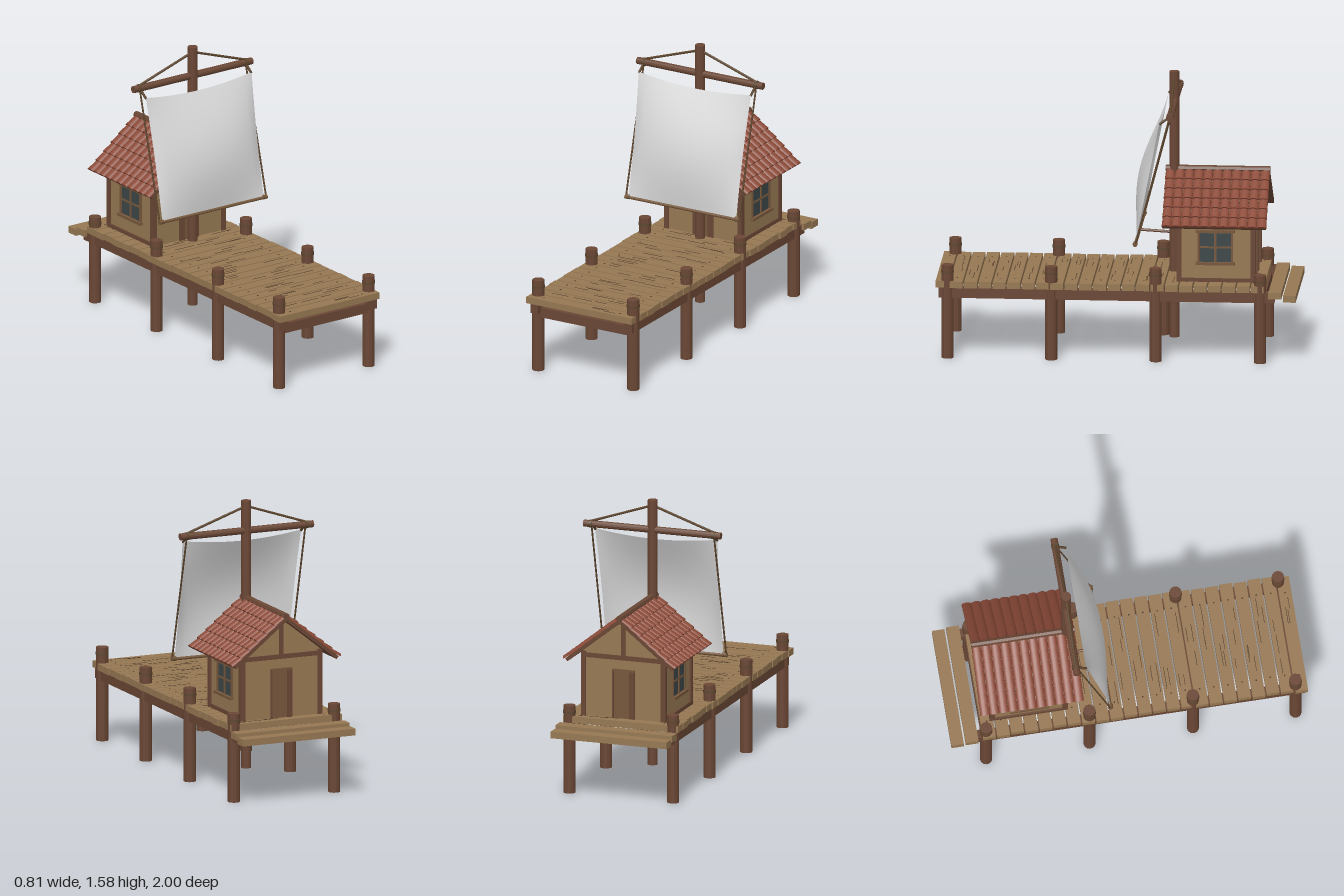
import * as THREE from 'three';
import { mergeGeometries } from 'three/addons/utils/BufferGeometryUtils.js';

const material = (name, color, extra = {}) =>
  Object.assign(new THREE.MeshStandardMaterial({ color, ...extra }), { name });

export function createModel() {
  const model = new THREE.Group();
  model.name = 'pierWithHutAndSail';
  const timber = material('dark timber', 0x6a4735, { flatShading: true });
  const plankWood = material('plank wood', 0x967853);
  const wallWood = material('wall wood', 0x957852);
  const trimWood = material('trim wood', 0x76573b);
  const ropeMat = material('rope', 0x5f472f);
  const grainMat = material('wood grain', 0x4e3a28);
  const tileMat = material('roof tile', 0x8b4a38);
  const glassMat = material('window glass', 0x3c4648);
  const clothMat = material('sail cloth', 0xdadada, { side: THREE.DoubleSide });

  const add = (name, geo, mat, parent = model) => {
    const mesh = new THREE.Mesh(geo, mat);
    mesh.name = name;
    parent.add(mesh);
    return mesh;
  };
  // Box given by its limits on each axis
  const box = (name, mat, x0, x1, y0, y1, z0, z1, parent) => {
    const m = add(name, new THREE.BoxGeometry(x1 - x0, y1 - y0, z1 - z0), mat, parent);
    m.position.set((x0 + x1) / 2, (y0 + y1) / 2, (z0 + z1) / 2);
    return m;
  };
  // Round bar between two points
  const rod = (name, mat, a, b, r, sides = 12) => {
    const p = new THREE.Vector3(...a), q = new THREE.Vector3(...b);
    const d = q.clone().sub(p);
    const m = add(name, new THREE.CylinderGeometry(r, r, d.length(), sides), mat);
    m.position.copy(p).add(q).multiplyScalar(0.5);
    m.quaternion.setFromUnitVectors(new THREE.Vector3(0, 1, 0), d.normalize());
    return m;
  };
  let seed = 7;
  const rand = () => (seed = (seed * 16807) % 2147483647) / 2147483647;

  // Deck planks with nails and grain marks
  const marks = [];
  const pitch = 0.0796;
  for (let i = 0; i < 23; i++) {
    const z1 = 1 - i * pitch, shift = (rand() - 0.5) * 0.012;
    box('deckPlank', plankWood, -0.34 + shift, 0.34 + shift, 0.404, 0.441, z1 - 0.071, z1);
    const mark = (x, z, w, d) =>
      marks.push(new THREE.BoxGeometry(w, 0.002, d).translate(x, 0.4415, z));
    for (const x of [-0.245, 0.245]) mark(x + shift, z1 - 0.036, 0.008, 0.008);
    for (let k = 0; k < 3; k++)
      mark((rand() - 0.5) * 0.42, z1 - 0.012 - rand() * 0.046, 0.05 + rand() * 0.09, 0.003);
  }
  add('plankMarks', mergeGeometries(marks), grainMat);

  // Two lower steps behind the deck
  box('upperStep', plankWood, -0.345, 0.345, 0.373, 0.41, -0.92, -0.848);
  box('lowerStep', plankWood, -0.343, 0.343, 0.355, 0.393, -1, -0.93);

  // Posts, beams under the deck
  for (const s of [-1, 1]) {
    box('sideBeam', timber, s * 0.302 - 0.025, s * 0.302 + 0.025, 0.345, 0.404, -0.88, 0.985);
    for (const [z, h] of [[0.935, 0.53], [0.36, 0.53], [-0.22, 0.53], [-0.8, 0.5]]) {
      rod('pierPost', timber, [s * 0.306, 0, z], [s * 0.306, h, z], 0.034);
      rod('postRope', ropeMat, [s * 0.306, h - 0.045, z], [s * 0.306, h - 0.03, z], 0.0365);
    }
  }
  for (const z of [0.935, 0.36, -0.22, -0.8])
    box('crossBeam', timber, -0.29, 0.29, 0.32, 0.375, z - 0.025, z + 0.025);

  // Hut walls with gables
  const hut = new THREE.Group();
  hut.name = 'hut';
  model.add(hut);
  const zf = -0.34, zb = -0.762;
  const gable = new THREE.Shape(
    [[-0.24, 0.44], [0.24, 0.44], [0.24, 0.812], [0, 1.0], [-0.24, 0.812]]
      .map(([x, y]) => new THREE.Vector2(x, y)));
  add('hutWalls', new THREE.ExtrudeGeometry(gable, { depth: zf - zb, bevelEnabled: false }),
    wallWood, hut).position.z = zb;
  for (const s of [-1, 1]) {
    const x0 = s * 0.236 - 0.014, x1 = s * 0.236 + 0.014;
    box('frontCornerPost', timber, x0, x1, 0.44, 0.81, zf - 0.02, zf + 0.008, hut);
    box('backCornerPost', timber, x0, x1, 0.44, 0.81, zb - 0.008, zb + 0.02, hut);
    box('wallSill', timber, x0, x1 - 0.004, 0.44, 0.462, zb, zf, hut);
    box('wallPlate', timber, x0, x1 - 0.004, 0.775, 0.8, zb, zf, hut);

    // Side window: glass, frame, glazing bars, lintel and sill
    const w = (name, mat, y0, y1, z0, z1, out) =>
      box(name, mat, s > 0 ? 0.235 : -0.24 - out, s > 0 ? 0.24 + out : -0.235, y0, y1, z0, z1, hut);
    w('windowGlass', glassMat, 0.555, 0.725, -0.64, -0.455, 0.003);
    for (const z of [-0.64, -0.5475, -0.455])
      w('windowUpright', trimWood, 0.55, 0.73, z - 0.006, z + 0.006, 0.01);
    w('windowBar', trimWood, 0.634, 0.644, -0.64, -0.455, 0.008);
    w('windowLintel', trimWood, 0.722, 0.738, -0.655, -0.438, 0.018);
    w('windowSill', trimWood, 0.54, 0.555, -0.655, -0.438, 0.022);
  }
  // Gable timbers and doors on both ends
  for (const [z, s] of [[zf, 1], [zb, -1]]) {
    const plate = (name, mat, x0, x1, y0, y1, t) =>
      box(name, mat, x0, x1, y0, y1, Math.min(z, z + s * t), Math.max(z, z + s * t), hut);
    plate('tieBeam', timber, -0.24, 0.24, 0.775, 0.8, 0.008);
    plate('kingPost', timber, -0.012, 0.012, 0.8, 0.985, 0.008);
    plate('door', trimWood, -0.06, 0.06, 0.44, 0.715, 0.004);
    plate('doorLintel', trimWood, -0.066, 0.066, 0.71, 0.722, 0.009);
    if (s > 0) {
      for (const x of [-0.048, 0.048]) plate('doorJamb', timber, x - 0.017, x + 0.017, 0.44, 0.715, 0.009);
    } else {
      plate('doorJamb', timber, -0.066, -0.034, 0.44, 0.715, 0.009);
      plate('doorJamb', timber, 0.056, 0.066, 0.44, 0.715, 0.009);
    }
  }

  // Roof: boards covered with overlapping barrel tiles
  const slope = Math.atan2(0.25, 0.315), length = 0.4, rows = 6, cols = 11, step = 0.0527;
  const tiles = [];
  for (let r = 0; r < rows; r++) {
    for (let c = 0; c < cols; c++) {
      tiles.push(new THREE.CylinderGeometry(0.0275, 0.024, 0.08, 8, 1, false, Math.PI, Math.PI)
        .rotateZ(-Math.PI / 2).scale(1, 0.55, 1).rotateZ(0.1)
        .translate(0.037 + r * 0.0665, 0.01, (c - (cols - 1) / 2) * step));
    }
  }
  const tileGeo = mergeGeometries(tiles);
  for (const turn of [0, Math.PI]) {
    const side = new THREE.Group();
    side.name = 'roofSide';
    side.position.set(0, 1.015, -0.545);
    side.rotation.set(0, turn, -slope);
    hut.add(side);
    box('roofBoard', timber, 0, length, -0.011, 0.009, -0.288, 0.288, side);
    add('roofTiles', tileGeo, tileMat, side);
  }
  const ridge = rod('ridgeBeam', timber, [0, 1.027, -0.835], [0, 1.027, -0.255], 0.019, 8);
  hut.add(ridge);

  // Mast, yard, boom and rigging
  rod('mast', timber, [0, 0.065, -0.302], [0, 1.58, -0.302], 0.028);
  rod('yard', timber, [-0.405, 1.41, -0.305], [0.405, 1.41, -0.305], 0.02);
  rod('boom', trimWood, [-0.37, 0.674, -0.11], [0.37, 0.674, -0.11], 0.009, 8);
  rod('boomStrut', timber, [0, 0.672, -0.11], [0, 0.662, -0.29], 0.008, 8);
  for (const s of [-1, 1]) {
    rod('topStay', ropeMat, [0, 1.548, -0.302], [s * 0.365, 1.425, -0.305], 0.007, 6);
    rod('sideStay', ropeMat, [s * 0.362, 1.4, -0.3], [s * 0.364, 0.68, -0.112], 0.005, 6);
    rod('sailTie', ropeMat, [s * 0.36, 1.425, -0.325], [s * 0.36, 1.365, -0.245], 0.007, 6);
    rod('yardBand', ropeMat, [s * 0.352, 1.41, -0.305], [s * 0.372, 1.41, -0.305], 0.0225);
    rod('boomBand', trimWood, [s * 0.34, 0.677, -0.11], [s * 0.366, 0.677, -0.11], 0.014, 8);
  }

  // Billowing sail with a sagging top edge
  const cloth = new THREE.PlaneGeometry(1, 1, 24, 24);
  const pos = cloth.attributes.position;
  const sailPoint = (u, v) => {
    const across = 1 - (2 * u) ** 2;
    const x = 2 * u * (0.347 + 0.015 * v - 0.006 * Math.sin(Math.PI * v));
    const y = 0.68 + v * (0.69 - 0.03 * across);
    const z = -0.11 - 0.135 * v + 0.07 * Math.sin(Math.PI * v) * Math.sqrt(Math.max(across, 0)) ** 1.4;
    return new THREE.Vector3(x, y, z);
  };
  for (let i = 0; i < pos.count; i++) {
    const p = sailPoint(pos.getX(i), pos.getY(i) + 0.5);
    pos.setXYZ(i, p.x, p.y, p.z);
  }
  cloth.computeVertexNormals();
  add('sail', cloth, clothMat);

  return model;
}
